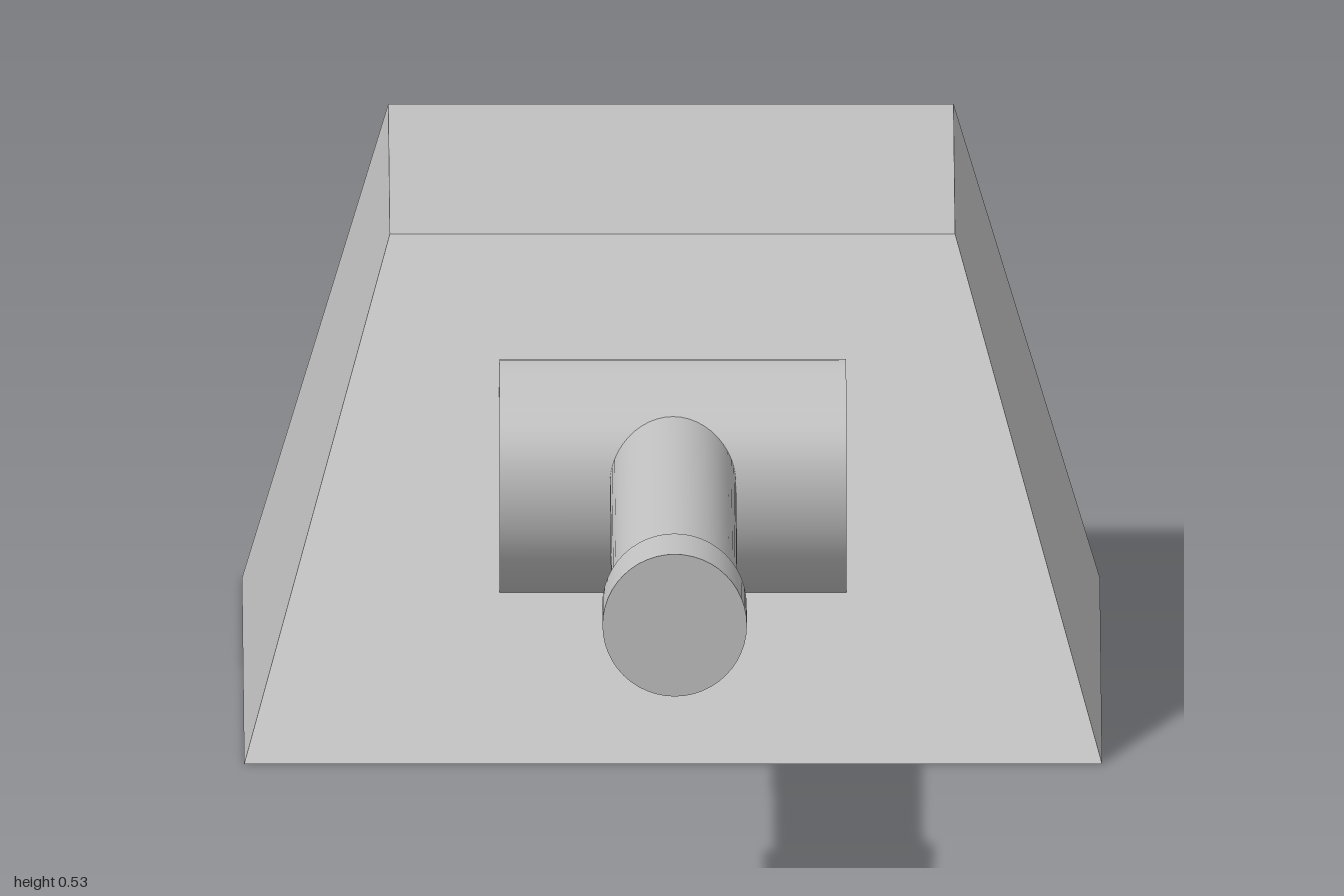
import * as THREE from 'three';

export function createModel() {
  const group = new THREE.Group();
  const grey = new THREE.MeshStandardMaterial({ color: 0xc0c0c0 });
  grey.name = 'plain grey';

  const add = (name, geometry) => {
    const mesh = new THREE.Mesh(geometry, grey);
    mesh.name = name;
    group.add(mesh);
  };

  // Casemate: a box with sides leaning inwards, a raked front and an upright back
  const height = 0.533;
  const casemate = new THREE.BoxGeometry(1, 1, 1);
  const p = casemate.attributes.position;
  for (let i = 0; i < p.count; i++) {
    const top = p.getY(i) > 0;
    const front = p.getZ(i) > 0;
    p.setXYZ(
      i,
      Math.sign(p.getX(i)) * (top ? 0.313 : 0.475),
      top ? height : 0,
      front ? (top ? -0.185 : 0.168) : -1
    );
  }
  casemate.computeVertexNormals();
  add('casemate', casemate);

  // Mantlet: a drum lying across the raked front
  add('mantlet', new THREE.CylinderGeometry(0.135, 0.135, 0.384, 48)
    .rotateZ(Math.PI / 2).translate(0, 0.285, -0.02));

  // Cylinder along z between two depths, at the height of the gun
  const gunPart = (name, radius, z0, z1) =>
    add(name, new THREE.CylinderGeometry(radius, radius, z1 - z0, 48)
      .rotateX(Math.PI / 2).translate(0, 0.305, (z0 + z1) / 2));

  gunPart('barrel', 0.07, 0, 0.9);
  gunPart('muzzle', 0.08, 0.87, 1);

  return group;
}
